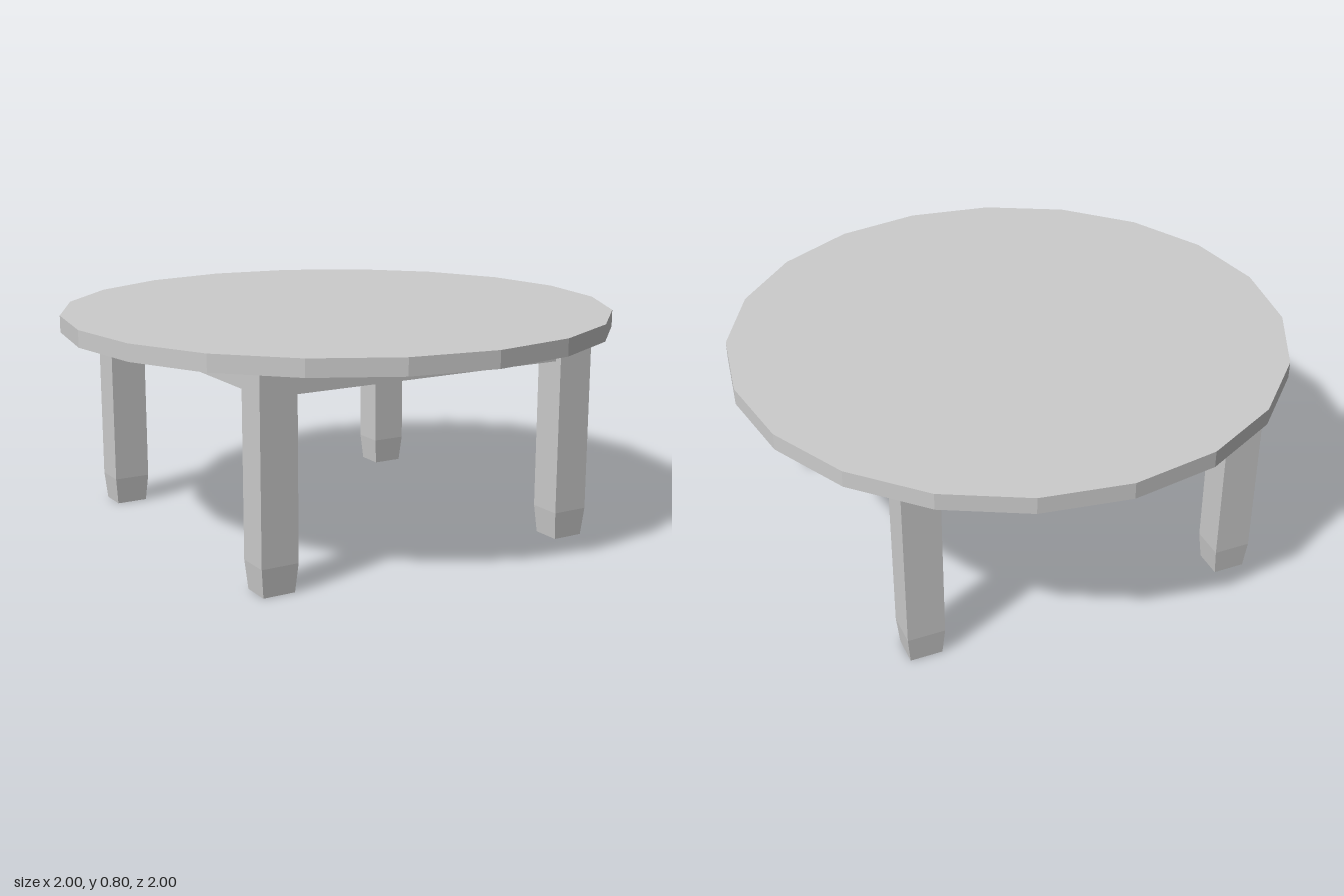
import * as THREE from 'three';

const grey = new THREE.MeshStandardMaterial({ color: 0xcccccc, flatShading: true });
const greyOpen = new THREE.MeshStandardMaterial({ color: 0xcccccc, flatShading: true, side: THREE.DoubleSide });

const TOP_Y = 0.8, UNDER_Y = 0.74, RAIL_Y = 0.65;

function addMesh(group, name, geometry, material = grey) {
  const mesh = new THREE.Mesh(geometry, material);
  mesh.name = name;
  group.add(mesh);
  return mesh;
}

// Square tube, open at the foot, with a tapered end
function legGeometry() {
  const r = Math.SQRT2;
  const profile = [[0.86 * r, 0], [r, 0.1], [r, UNDER_Y]].map(([x, y]) => new THREE.Vector2(x, y));
  const geometry = new THREE.LatheGeometry(profile, 4).rotateY(Math.PI / 4).scale(0.067, 1, 0.061).toNonIndexed();
  geometry.computeVertexNormals();
  return geometry;
}

// Straight rail under the top between two floor-plan points
function addRail(group, name, [x0, z0], [x1, z1], width) {
  const rail = addMesh(group, name,
    new THREE.BoxGeometry(Math.hypot(x1 - x0, z1 - z0), UNDER_Y - RAIL_Y, width));
  rail.position.set((x0 + x1) / 2, (UNDER_Y + RAIL_Y) / 2, (z0 + z1) / 2);
  rail.rotation.y = -Math.atan2(z1 - z0, x1 - x0);
}

export function createModel() {
  const table = new THREE.Group();
  table.name = 'roundTable';

  // Twenty-sided top
  addMesh(table, 'tabletop', new THREE.CylinderGeometry(1, 1, TOP_Y - UNDER_Y, 20))
    .position.y = (TOP_Y + UNDER_Y) / 2;

  // Legs
  const corners = [
    ['frontLeft', 0.582, 0.605], ['backLeft', 0.582, -0.605],
    ['backRight', -0.602, -0.605], ['frontRight', -0.602, 0.605],
  ];
  const leg = legGeometry();
  for (const [name, x, z] of corners) {
    addMesh(table, name + 'Leg', leg, greyOpen).position.set(x, 0, z);
  }

  // Rails joining neighbouring legs
  const sides = ['leftRail', 'backRail', 'rightRail', 'frontRail'];
  sides.forEach((name, i) => {
    const [, x0, z0] = corners[i], [, x1, z1] = corners[(i + 1) % 4];
    addRail(table, name, [x0, z0], [x1, z1], 0.07);
  });

  // Single diagonal brace
  addRail(table, 'diagonalBrace', [-0.6, -0.56], [0.56, 0.56], 0.07);

  return table;
}
